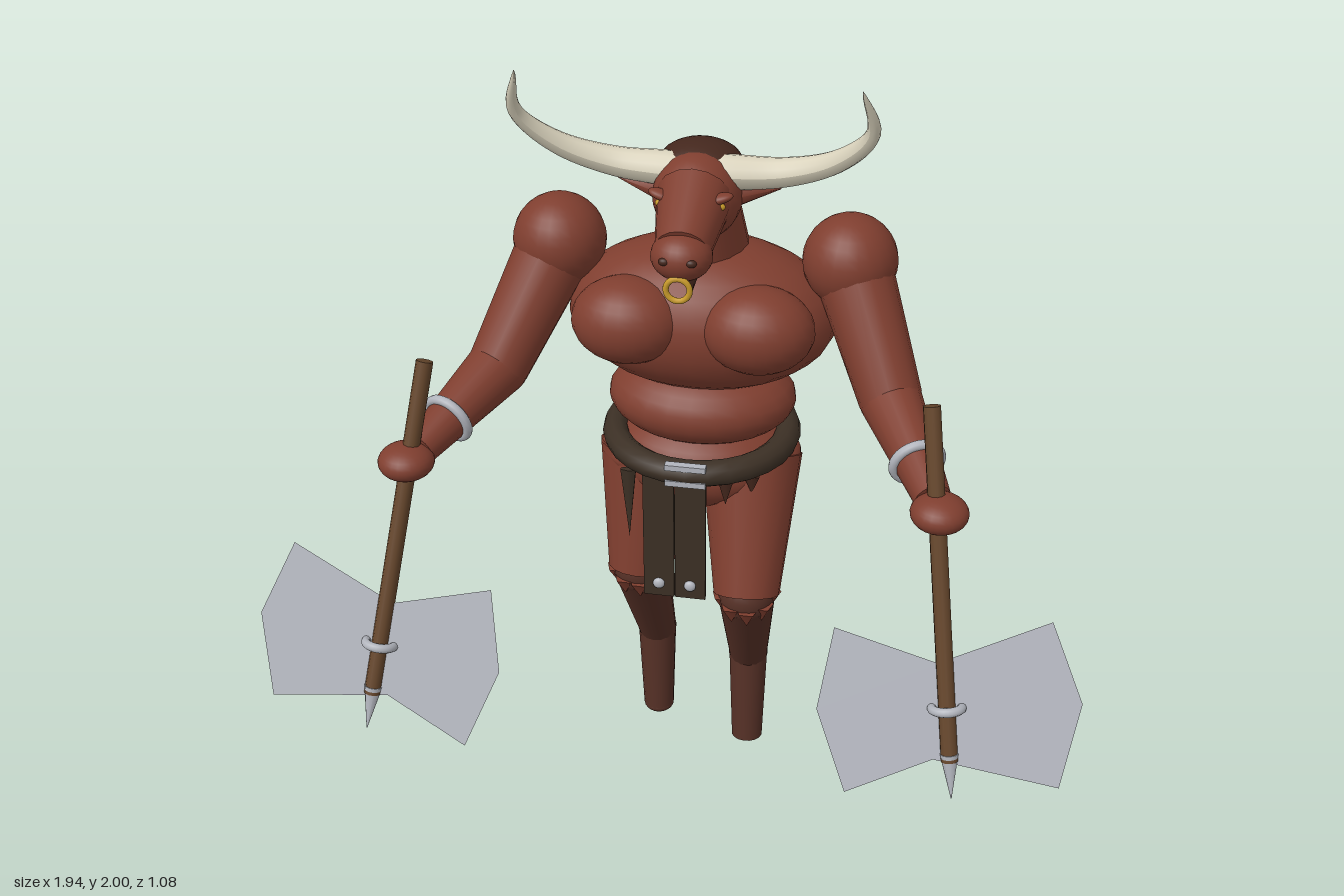
import * as THREE from 'three';

const mat = (name, color, side = THREE.FrontSide) => {
  const m = new THREE.MeshStandardMaterial({ color, side });
  m.name = name;
  return m;
};

export function createModel() {
  const root = new THREE.Group();
  const skin = mat('red hide', 0x7f3e2f);
  const fur = mat('dark leg fur', 0x553026, THREE.DoubleSide);
  const hair = mat('dark hair', 0x44271d);
  const leather = mat('leather', 0x3c3025, THREE.DoubleSide);
  const ivory = mat('ivory', 0xd9d2bc);
  const silver = mat('steel', 0xb2b5bd, THREE.DoubleSide);
  const wood = mat('wood', 0x64452b);
  const gold = mat('gold', 0xc79a2a);
  const V = (x, y, z) => new THREE.Vector3(x, y, z);
  const UP = V(0, 1, 0);

  const add = (name, geo, m, pos = [0, 0, 0]) => {
    const mesh = new THREE.Mesh(geo, m);
    mesh.name = name;
    mesh.position.set(...pos);
    root.add(mesh);
    return mesh;
  };
  const ball = (name, m, pos, r) => {
    const mesh = add(name, new THREE.SphereGeometry(1, 24, 16), m, pos);
    mesh.scale.set(...r);
    return mesh;
  };
  // tapered cylinder running from a to b
  const limb = (name, m, a, b, ra, rb, seg = 16) => {
    const d = b.clone().sub(a);
    const mesh = add(name, new THREE.CylinderGeometry(rb, ra, d.length(), seg), m,
      a.clone().add(b).multiplyScalar(0.5).toArray());
    mesh.quaternion.setFromUnitVectors(UP, d.normalize());
    return mesh;
  };
  const ring = (name, m, c, axis, R, r) => {
    const mesh = add(name, new THREE.TorusGeometry(R, r, 10, 28), m, c.toArray());
    mesh.quaternion.setFromUnitVectors(V(0, 0, 1), axis.clone().normalize());
    return mesh;
  };
  // tube along points whose radius follows radiusAt(t)
  const taperTube = (name, m, pts, radiusAt, n = 28, sides = 12) => {
    const curve = new THREE.CatmullRomCurve3(pts);
    const geo = new THREE.TubeGeometry(curve, n, 1, sides);
    const p = geo.attributes.position, v = V(0, 0, 0);
    for (let i = 0; i < p.count; i++) {
      const t = Math.floor(i / (sides + 1)) / n, c = curve.getPointAt(t);
      v.fromBufferAttribute(p, i).sub(c).multiplyScalar(radiusAt(t)).add(c);
      p.setXYZ(i, v.x, v.y, v.z);
    }
    geo.computeVertexNormals();
    return add(name, geo, m);
  };

  // torso
  ball('chest', skin, [0, 1.34, -0.16], [0.33, 0.19, 0.21]);
  ball('abdomen', skin, [0, 1.11, -0.16], [0.235, 0.11, 0.18]);
  ball('pelvis', skin, [0, 0.95, -0.15], [0.235, 0.13, 0.18]);
  limb('neck', skin, V(0, 1.46, -0.19), V(0, 1.68, -0.11), 0.115, 0.085);

  // belt, buckle and hanging cloth
  ring('belt', leather, V(0, 1.01, -0.152), UP, 0.217, 0.033);
  for (const y of [1.037, 0.993])
    add('buckleBar', new THREE.BoxGeometry(0.1, 0.015, 0.02), silver, [0, y, 0.085]);
  for (const x of [-0.075, 0.005]) {
    add('frontCloth', new THREE.BoxGeometry(0.078, 0.36, 0.009), leather, [x, 0.8, 0.045]);
    ball('clothStud', silver, [x, 0.66, 0.052], [0.015, 0.015, 0.01]);
  }
  const side = add('sideCloth', new THREE.BoxGeometry(0.009, 0.34, 0.11), leather, [0.2, 0.79, -0.115]);
  side.rotation.z = 0.06;
  for (const z of [-0.09, -0.145])
    ball('clothStud', silver, [0.215, 0.655, z], [0.01, 0.014, 0.014]);
  // torn strips below the belt
  for (const [x, z, h, m] of [[-0.155, 0.02, 0.2, leather], [0.09, 0.03, 0.07, hair], [0.15, 0.0, 0.05, hair]]) {
    const strip = add('tornStrip', new THREE.ConeGeometry(0.022, h, 6), m, [x, 0.975 - h / 2, z]);
    strip.rotation.x = Math.PI;
    strip.scale.z = 0.4;
  }

  // legs, the right one set further back
  const legs = [
    { s: 1, knee: V(0.145, 0.63, 0.015), ankle: V(0.13, 0.31, -0.155), foot: V(0.135, 0.04, -0.125) },
    { s: -1, knee: V(-0.145, 0.63, -0.06), ankle: V(-0.14, 0.29, -0.245), foot: V(-0.135, 0.03, -0.23) },
  ];
  for (const { s, knee, ankle, foot } of legs) {
    const hip = V(s * 0.13, 0.96, -0.14);
    limb('thigh', skin, hip, knee, 0.128, 0.084);
    ball('hip', skin, hip.toArray(), [0.125, 0.06, 0.13]);
    ball('knee', fur, knee.toArray(), [0.074, 0.074, 0.074]);
    limb('shin', fur, knee, ankle, 0.074, 0.052);
    ball('ankle', fur, ankle.toArray(), [0.053, 0.053, 0.053]);
    limb('lowerLeg', fur, ankle, foot, 0.052, 0.042);
    if (s < 0) ball('hoof', fur, foot.toArray(), [0.042, 0.025, 0.042]);
    // ragged hem of hide around the knee
    for (let i = 0; i < 9; i++) {
      const a = i * Math.PI * 2 / 9;
      const tuft = add('kneeTuft', new THREE.ConeGeometry(0.03, 0.05, 5), skin,
        [knee.x + 0.06 * Math.cos(a), 0.615 + 0.02 * Math.sin(a) * -1, knee.z + 0.06 * Math.sin(a)]);
      tuft.rotation.x = Math.PI;
    }
  }

  // tail
  taperTube('tail', skin, [V(0.03, 0.98, -0.3), V(0.05, 0.81, -0.41), V(0.08, 0.6, -0.49), V(0.1, 0.36, -0.51)],
    t => 0.018 - 0.006 * t);
  ball('tailTuft', fur, [0.1, 0.335, -0.51], [0.032, 0.075, 0.032]);

  // head
  ball('skull', skin, [0, 1.675, -0.08], [0.104, 0.105, 0.11]);
  ball('hairCap', hair, [0, 1.735, -0.125], [0.098, 0.055, 0.088]);
  limb('snout', skin, V(0, 1.685, -0.04), V(0, 1.625, 0.12), 0.088, 0.062);
  ball('muzzle', skin, [0, 1.618, 0.125], [0.07, 0.056, 0.063]);
  ball('jaw', hair, [0, 1.585, 0.075], [0.055, 0.035, 0.085]);
  const beard = add('beard', new THREE.ConeGeometry(0.045, 0.14, 8), hair, [0, 1.53, 0.005]);
  beard.rotation.x = Math.PI;
  ring('noseRing', gold, V(0, 1.558, 0.175), V(0, 0, 1), 0.027, 0.007);

  for (const s of [1, -1]) {
    // face and horns
    ball('eye', gold, [s * 0.06, 1.692, 0.018], [0.02, 0.011, 0.012]);
    const brow = ball('brow', skin, [s * 0.062, 1.708, 0.012], [0.036, 0.012, 0.02]);
    brow.rotation.z = s * 0.3;
    ball('nostril', hair, [s * 0.03, 1.625, 0.177], [0.013, 0.009, 0.009]);
    limb('ear', skin, V(s * 0.08, 1.675, -0.1), V(s * 0.19, 1.695, -0.1), 0.034, 0.001, 8);
    taperTube('horn', ivory, [V(s * 0.05, 1.73, -0.09), V(s * 0.2, 1.74, -0.09), V(s * 0.32, 1.79, -0.055),
      V(s * 0.397, 1.88, 0), V(s * 0.375, 2.0, 0.07)], t => 0.042 * Math.pow(1 - t, 0.7) + 0.0005);

    // pectoral and arm
    ball('pectoral', skin, [s * 0.155, 1.375, -0.012], [0.135, 0.105, 0.11]);
    const shoulder = V(s * 0.35, 1.5, -0.162), elbow = V(s * 0.475, 1.225, 0), wrist = V(s * 0.595, 1.145, 0.28);
    ball('shoulder', skin, shoulder.toArray(), [0.113, 0.113, 0.113]);
    limb('upperArm', skin, shoulder, elbow, 0.095, 0.075);
    ball('elbow', skin, elbow.toArray(), [0.074, 0.074, 0.074]);
    limb('forearm', skin, elbow, wrist, 0.074, 0.042);
    ball('hand', skin, [s * 0.613, 1.136, 0.32], [0.066, 0.042, 0.065]);
    const axis = wrist.clone().sub(elbow);
    ring('bracelet', silver, elbow.clone().addScaledVector(axis, 0.64), axis, 0.056, 0.012);

    // double-bladed axe held head down
    const top = V(s * 0.575, 1.36, 0.24), tip = V(s * 0.7, 0.5, 0.537);
    const at = t => top.clone().lerp(tip, t);
    limb('axeShaft', wood, top, at(0.9), 0.02, 0.02, 10);
    limb('axeSpike', silver, at(0.88), tip, 0.022, 0.001, 10);
    ring('axeCollar', silver, at(0.76), tip.clone().sub(top), 0.034, 0.011);
    const outline = [[0.884, 0.923], [0.64, 0.805], [0.402, 0.86], [0.376, 0.67],
      [0.455, 0.485], [0.65, 0.585], [0.937, 0.553], [0.968, 0.749]];
    const blade = new THREE.ShapeGeometry(new THREE.Shape(outline.map(([x, y]) => new THREE.Vector2(s * x, y))));
    const p = blade.attributes.position;
    for (let i = 0; i < p.count; i++) p.setZ(i, 0.467 - 0.343 * (p.getY(i) - 0.705));
    blade.computeVertexNormals();
    add('axeBlade', blade, silver);
  }
  return root;
}
